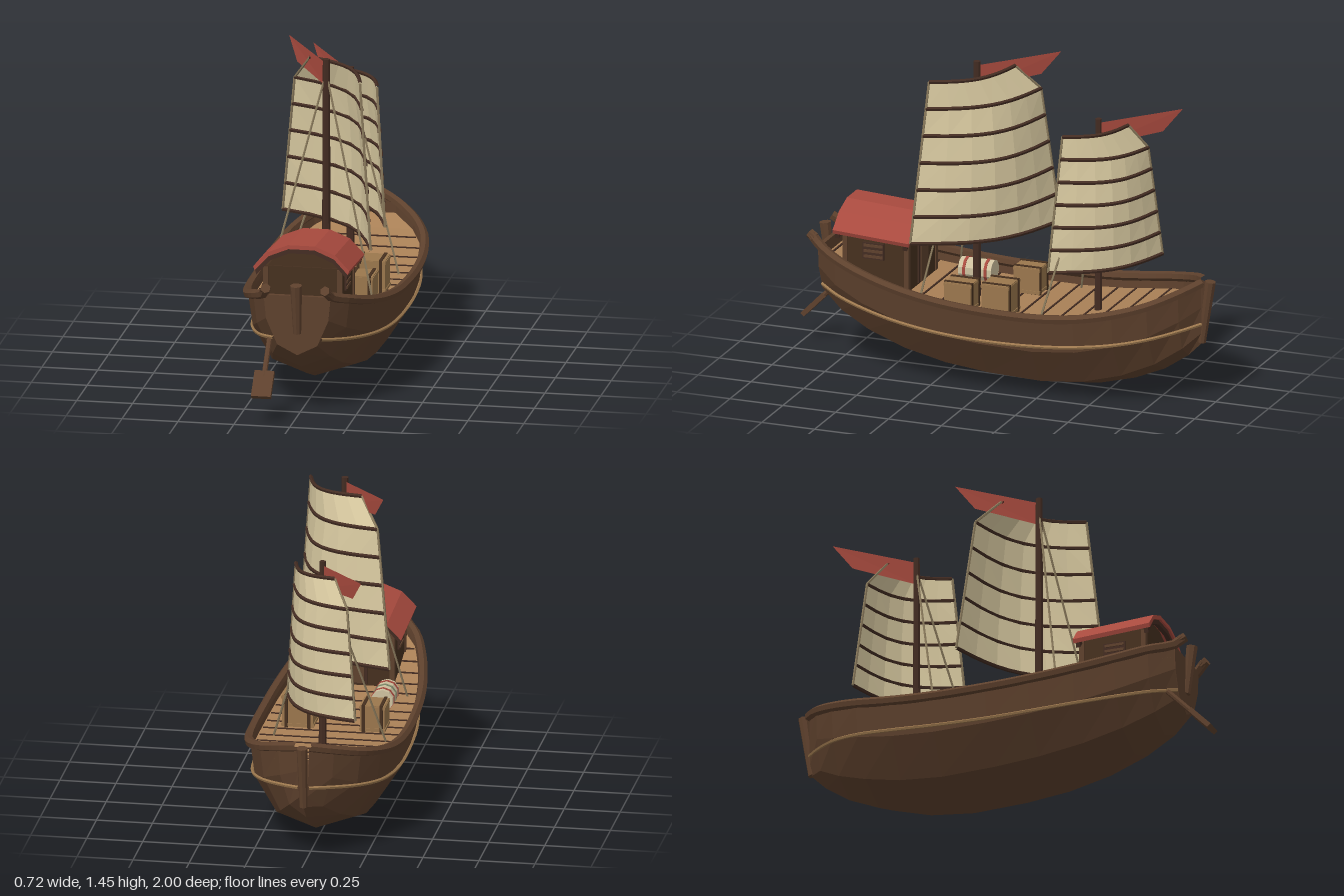
import * as THREE from 'three';

const V = (x, y, z) => new THREE.Vector3(x, y, z);
const lerp = THREE.MathUtils.lerp;
const mat = (color, side = THREE.FrontSide) => new THREE.MeshStandardMaterial({ color, side, flatShading: true });
const WOOD = mat(0x5e412d), HULL = mat(0x5e412d, THREE.DoubleSide), DARK = mat(0x46301f), BATTEN = mat(0x432c22);
const DECK = mat(0xa98056, THREE.DoubleSide), TAN = mat(0x9b774d), ROPE = mat(0x8a7a5c), RED = mat(0xa84a3e, THREE.DoubleSide);
const SAIL = mat(0xd8c9a0, THREE.DoubleSide), CREAM = mat(0xcfc2a0);

// Hull stations: z, half width, sheer height, keel height
const STATIONS = [
  [0.82, 0.15, 0.55, 0.28], [0.72, 0.215, 0.515, 0.2], [0.58, 0.262, 0.475, 0.13], [0.4, 0.3, 0.437, 0.07],
  [0.2, 0.325, 0.41, 0.03], [0, 0.335, 0.397, 0.01], [-0.25, 0.337, 0.395, 0], [-0.45, 0.325, 0.41, 0.02],
  [-0.62, 0.292, 0.44, 0.065], [-0.76, 0.225, 0.475, 0.125], [-0.87, 0.125, 0.515, 0.2], [-0.94, 0.025, 0.545, 0.27],
];
const PROFILE = [[0, 0], [0.6, 0.17], [0.93, 0.6], [1, 1]]; // width and height fractions, keel to sheer
const DECK_DROP = 0.05;

// Piecewise linear lookup of a station
function at(z) {
  let i = 0;
  while (i < STATIONS.length - 2 && z < STATIONS[i + 1][0]) i++;
  const a = STATIONS[i], b = STATIONS[i + 1], t = (z - a[0]) / (b[0] - a[0]);
  return { w: lerp(a[1], b[1], t), top: lerp(a[2], b[2], t), keel: lerp(a[3], b[3], t) };
}

function hullWidth(z, y) {
  const s = at(z), f = (y - s.keel) / (s.top - s.keel);
  const i = f < 0.17 ? 0 : f < 0.6 ? 1 : 2, a = PROFILE[i], b = PROFILE[i + 1];
  return s.w * lerp(a[0], b[0], (f - a[1]) / (b[1] - a[1]));
}

function add(parent, name, geo, material, pos) {
  const m = new THREE.Mesh(geo, material);
  m.name = name;
  if (pos) m.position.set(...pos);
  parent.add(m);
  return m;
}
const box = (p, name, size, pos, material) => add(p, name, new THREE.BoxGeometry(...size), material, pos);

// Surface through rows of points
function loft(rows) {
  const n = rows[0].length, pos = rows.flat().flatMap(p => p.toArray()), idx = [];
  for (let i = 0; i < rows.length - 1; i++) for (let j = 0; j < n - 1; j++) {
    const a = i * n + j, b = a + n;
    idx.push(a, b, a + 1, a + 1, b, b + 1);
  }
  const g = new THREE.BufferGeometry();
  g.setAttribute('position', new THREE.Float32BufferAttribute(pos, 3));
  g.setIndex(idx);
  g.computeVertexNormals();
  return g;
}

// Straight capped rod between two points
function rod(p, name, a, b, r, material, sides = 8, r2 = r) {
  const m = add(p, name, new THREE.CylinderGeometry(r2, r, a.distanceTo(b), sides), material);
  m.position.copy(a).lerp(b, 0.5);
  m.quaternion.setFromUnitVectors(V(0, 1, 0), b.clone().sub(a).normalize());
  return m;
}
const bend = (p, name, pts, r, material, segs = 24, sides = 6) =>
  add(p, name, new THREE.TubeGeometry(new THREE.CatmullRomCurve3(pts), segs, r, sides), material);

function buildHull(g) {
  const section = ([z, w, top, keel]) => {
    const half = PROFILE.map(([fx, fy]) => V(w * fx, lerp(keel, top, fy), z));
    return [...half.slice(1).reverse(), ...half.map(p => V(-p.x, p.y, z))];
  };
  add(g, 'hull', loft(STATIONS.map(section)), HULL);
  const end = section(STATIONS[0]).map(p => new THREE.Vector2(p.x, p.y));
  add(g, 'transom', new THREE.ExtrudeGeometry(new THREE.Shape(end), { depth: 0.02, bevelEnabled: false }), WOOD, [0, 0, 0.803]);
  const deckRows = STATIONS.slice(0, -1).map(([z, w, top]) => [V(w * 0.97, top - DECK_DROP, z), V(-w * 0.97, top - DECK_DROP, z)]);
  add(g, 'deck', loft(deckRows), DECK);
  for (let z = -0.69; z < 0.8; z += 0.0925) {
    const s = at(z);
    box(g, 'plankSeam', [s.w * 1.9, 0.008, 0.008], [0, s.top - DECK_DROP, z], BATTEN);
  }
  for (const s of [1, -1]) {
    const rail = STATIONS.map(([z, w, top]) => V(s * w, top + 0.005, z));
    rail.unshift(V(s * 0.135, 0.585, 0.855));
    bend(g, 'rail', rail, 0.022, WOOD, 40);
    rod(g, 'railEnd', V(s * 0.139, 0.575, 0.84), V(s * 0.133, 0.592, 0.868), 0.023, WOOD, 6);
    const wale = STATIONS.map(([z]) => {
      const y = 0.26 + 0.125 * (z + 0.05) ** 2;
      return V(s * (hullWidth(z, y) + 0.004), y, z);
    });
    bend(g, 'waleRope', wale, 0.008, TAN, 48, 5);
  }
  // Posts at both ends
  rod(g, 'stemPost', V(0, 0.27, -0.935), V(0, 0.555, -0.975), 0.018, WOOD, 8, 0.025);
  rod(g, 'sternPost', V(0, 0.38, 0.822), V(0, 0.605, 0.848), 0.018, WOOD, 8, 0.027);
}

function buildCabin(g) {
  const c = new THREE.Group();
  c.name = 'cabin';
  g.add(c);
  box(c, 'cabinWalls', [0.34, 0.26, 0.3], [0, 0.515, 0.54], DARK);
  for (const x of [-0.165, 0.165]) for (const z of [0.395, 0.685]) box(c, 'cornerPost', [0.022, 0.25, 0.022], [x, 0.515, z], WOOD);
  for (const s of [1, -1]) {
    box(c, 'windowFrame', [0.012, 0.075, 0.1], [s * 0.172, 0.56, 0.55], BATTEN);
    for (const y of [0.535, 0.56, 0.585]) box(c, 'windowSlat', [0.012, 0.012, 0.09], [s * 0.176, y, 0.55], WOOD);
  }
  box(c, 'doorFrame', [0.11, 0.19, 0.012], [0, 0.49, 0.387], BATTEN);
  box(c, 'door', [0.085, 0.17, 0.012], [0, 0.485, 0.382], WOOD);

  // Arched roof with its end beams
  const outer = [[-0.215, 0], [-0.15, 0.067], [-0.06, 0.103], [0.06, 0.103], [0.15, 0.067], [0.215, 0]];
  const arch = (thick, k) => new THREE.Shape([...outer.map(([x, y]) => new THREE.Vector2(x * k, y)),
    ...outer.map(([x, y]) => new THREE.Vector2(x * k * 0.97, y - thick)).reverse()]);
  const roof = new THREE.Group();
  roof.name = 'roof';
  roof.position.set(0, 0.638, 0.548);
  roof.rotation.x = -0.06;
  c.add(roof);
  add(roof, 'roofShell', new THREE.ExtrudeGeometry(arch(0.018, 1), { depth: 0.36, bevelEnabled: false }), RED, [0, 0, -0.18]);
  for (const z of [-0.17, 0.15])
    add(roof, 'roofBeam', new THREE.ExtrudeGeometry(arch(0.025, 0.97), { depth: 0.02, bevelEnabled: false }), BATTEN, [0, -0.014, z]);
  const gable = new THREE.Shape(outer.map(([x, y]) => new THREE.Vector2(x * 0.78, y * 0.95 - 0.015)));
  add(roof, 'gable', new THREE.ExtrudeGeometry(gable, { depth: 0.28, bevelEnabled: false }), DARK, [0, 0, -0.145]);
}

// Mast with battened sail, pennant and stays; ends are [x, y, z] relative to the mast foot axis
function buildRig(g, name, z0, mastTop, r, luff, leech, bulge) {
  const rig = new THREE.Group();
  rig.name = name;
  rig.position.z = z0;
  g.add(rig);
  rod(rig, 'mast', V(0, 0.34, 0), V(0, mastTop, 0), r, BATTEN, 8, r * 0.8);
  const [a0, a1, a2] = luff.map(p => V(...p)), [b0, b1] = leech.map(p => V(...p));
  const n = V(0.72, 0, -0.69), rows = [];
  for (let i = 0; i <= 6; i++) {
    const a = i < 6 ? a0.clone().lerp(a1, i / 5) : a2, b = b0.clone().lerp(b1, i / 6);
    const depth = bulge * (1 - 0.35 * i / 6 + 0.25 * Math.sin(Math.PI * i / 6));
    rows.push(Array.from({ length: 7 }, (_, j) =>
      a.clone().lerp(b, j / 6).addScaledVector(n, depth * Math.sin(Math.PI * j / 6))));
  }
  add(rig, 'sail', loft(rows), SAIL);
  rows.forEach(row => bend(rig, 'batten', row, 0.009, BATTEN, 12, 5));
  for (const j of [0, 6]) for (let i = 0; i < 6; i++) rod(rig, 'sailEdge', rows[i][j], rows[i + 1][j], 0.006, ROPE, 5);
  const t = mastTop - 0.02;
  add(rig, 'pennant', loft([[V(0, t, 0), V(0, t - 0.105, 0)], [V(-0.225, t + 0.033, -0.31), V(-0.175, t - 0.065, -0.235)]]), RED);
  for (const s of [1, -1]) rod(rig, 'stay', V(0, mastTop - 0.06, 0), V(s * 0.25, 0.36, 0.18), 0.005, ROPE, 5);
}

function buildCargo(g) {
  for (const [x, z, w, h, d] of [[-0.165, -0.06, 0.11, 0.12, 0.12], [0.17, -0.05, 0.14, 0.145, 0.125], [0.165, 0.135, 0.11, 0.125, 0.125]]) {
    const crate = new THREE.Group();
    crate.name = 'crate';
    crate.position.set(x, 0.35 + h / 2, z);
    g.add(crate);
    box(crate, 'crateBody', [w, h, d], [0, 0, 0], TAN);
    for (const s of [1, -1]) {
      box(crate, 'crateBand', [0.014, h + 0.008, d + 0.008], [s * w * 0.36, 0, 0], DARK);
      box(crate, 'crateEdge', [w + 0.006, 0.012, d + 0.006], [0, s * (h / 2 - 0.01), 0], TAN);
    }
  }
  // Bound bale lying along the deck
  const bale = new THREE.Group();
  bale.name = 'bale';
  bale.position.set(-0.168, 0.415, 0.19);
  bale.rotation.x = Math.PI / 2;
  g.add(bale);
  add(bale, 'baleBody', new THREE.CylinderGeometry(0.05, 0.05, 0.155, 10), CREAM);
  for (const [y, c] of [[-0.05, 0xa84a3e], [0, 0x7d8a6a], [0.05, 0xa84a3e]])
    add(bale, 'baleBand', new THREE.CylinderGeometry(0.053, 0.053, 0.013, 10), mat(c), [0, y, 0]);
}

function buildOar(g) {
  const oar = new THREE.Group();
  oar.name = 'steeringOar';
  oar.position.set(-0.13, 0.335, 0.79);
  oar.rotation.x = 0.8; // local +z runs down and aft
  g.add(oar);
  const shaft = add(oar, 'oarShaft', new THREE.CylinderGeometry(0.012, 0.012, 0.2, 8), WOOD, [0, 0, 0.09]);
  shaft.rotation.x = Math.PI / 2;
  box(oar, 'oarBlade', [0.088, 0.022, 0.13], [0, 0, 0.225], WOOD);
}

export function createModel() {
  const g = new THREE.Group();
  g.name = 'sailingJunk';
  buildHull(g);
  buildCabin(g);
  buildRig(g, 'mainRig', 0.13, 1.44, 0.02,
    [[-0.25, 0.66, -0.295], [-0.185, 1.285, -0.23], [-0.1, 1.405, -0.14]], [[0.24, 0.64, 0.22], [0.18, 1.38, 0.155]], 0.115);
  buildRig(g, 'foreRig', -0.445, 1.245, 0.018,
    [[-0.185, 0.59, -0.23], [-0.14, 1.09, -0.18], [-0.075, 1.205, -0.11]], [[0.185, 0.567, 0.165], [0.14, 1.19, 0.115]], 0.09);
  buildCargo(g);
  buildOar(g);
  return g;
}
